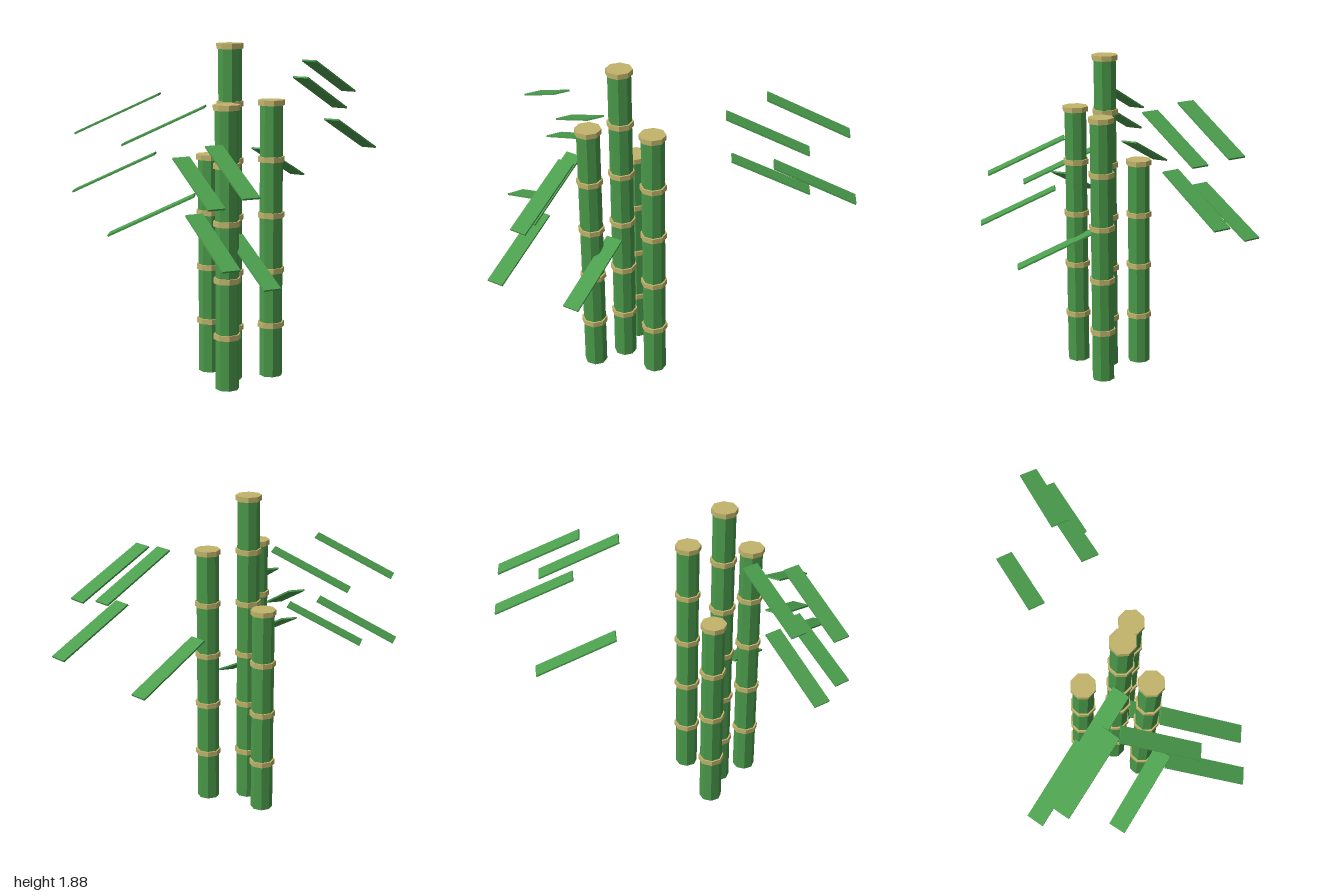
import * as THREE from 'three';

const SEGMENT = 0.3135; // distance between bamboo nodes

export function createModel() {
  const stalkGreen = new THREE.MeshStandardMaterial({ color: 0x4a994a });
  stalkGreen.name = 'stalkGreen';
  const leafGreen = new THREE.MeshStandardMaterial({ color: 0x4c9f4e });
  leafGreen.name = 'leafGreen';
  const nodeTan = new THREE.MeshStandardMaterial({ color: 0xc2b46b });
  nodeTan.name = 'nodeTan';
  for (const m of [stalkGreen, nodeTan]) m.flatShading = true;

  const model = new THREE.Group();
  model.name = 'bambooCluster';

  // Stalks: x, z, number of segments
  const ringGeometry = new THREE.CylinderGeometry(0.075, 0.075, 0.03, 8);
  const stalks = [
    [-0.238, -0.09, 4],
    [-0.3, 0.1, 6],
    [-0.467, 0.2, 5],
    [-0.112, 0.245, 5],
  ];
  for (const [x, z, count] of stalks) {
    const stalk = new THREE.Group();
    stalk.name = 'bambooStalk';
    stalk.position.set(x, 0, z);
    const height = count * SEGMENT - 0.01;
    const cane = new THREE.Mesh(new THREE.CylinderGeometry(0.065, 0.065, height, 8), stalkGreen);
    cane.name = 'cane';
    cane.position.y = height / 2;
    stalk.add(cane);
    // A node ring closes each segment; the last one caps the stalk
    for (let i = 1; i <= count; i++) {
      const ring = new THREE.Mesh(ringGeometry, nodeTan);
      ring.name = 'nodeRing';
      ring.position.y = i * SEGMENT - 0.015;
      stalk.add(ring);
    }
    model.add(stalk);
  }

  // Leaves: three sprays of drooping slats, each x, y, z, yaw in degrees
  const leafGeometry = new THREE.BoxGeometry(0.5, 0.01, 0.1);
  const sprays = {
    leftLeaves: [
      [0.535, 1.115, -0.145, 2.7],
      [0.72, 1.635, 0.097, 0],
      [0.505, 1.555, 0.172, 1.3],
      [0.77, 1.29, 0.222, 0.8],
    ],
    backRightLeaves: [
      [-0.668, 1.175, -0.42, 121],
      [-0.765, 1.515, -0.305, 121],
      [-0.56, 1.44, -0.155, 121.5],
      [-0.843, 1.005, -0.015, 123],
    ],
    frontRightLeaves: [
      [-0.687, 1.17, 0.176, -118.3],
      [-0.85, 0.905, 0.388, -118.5],
      [-0.7, 1.252, 0.404, -118.7],
      [-0.448, 0.728, 0.358, -117.7],
    ],
  };
  const droop = THREE.MathUtils.degToRad(-25);
  for (const [name, leaves] of Object.entries(sprays)) {
    const spray = new THREE.Group();
    spray.name = name;
    for (const [x, y, z, yaw] of leaves) {
      const leaf = new THREE.Mesh(leafGeometry, leafGreen);
      leaf.name = 'leaf';
      leaf.position.set(x, y, z);
      leaf.rotation.set(0, THREE.MathUtils.degToRad(yaw), droop);
      spray.add(leaf);
    }
    model.add(spray);
  }

  return model;
}
